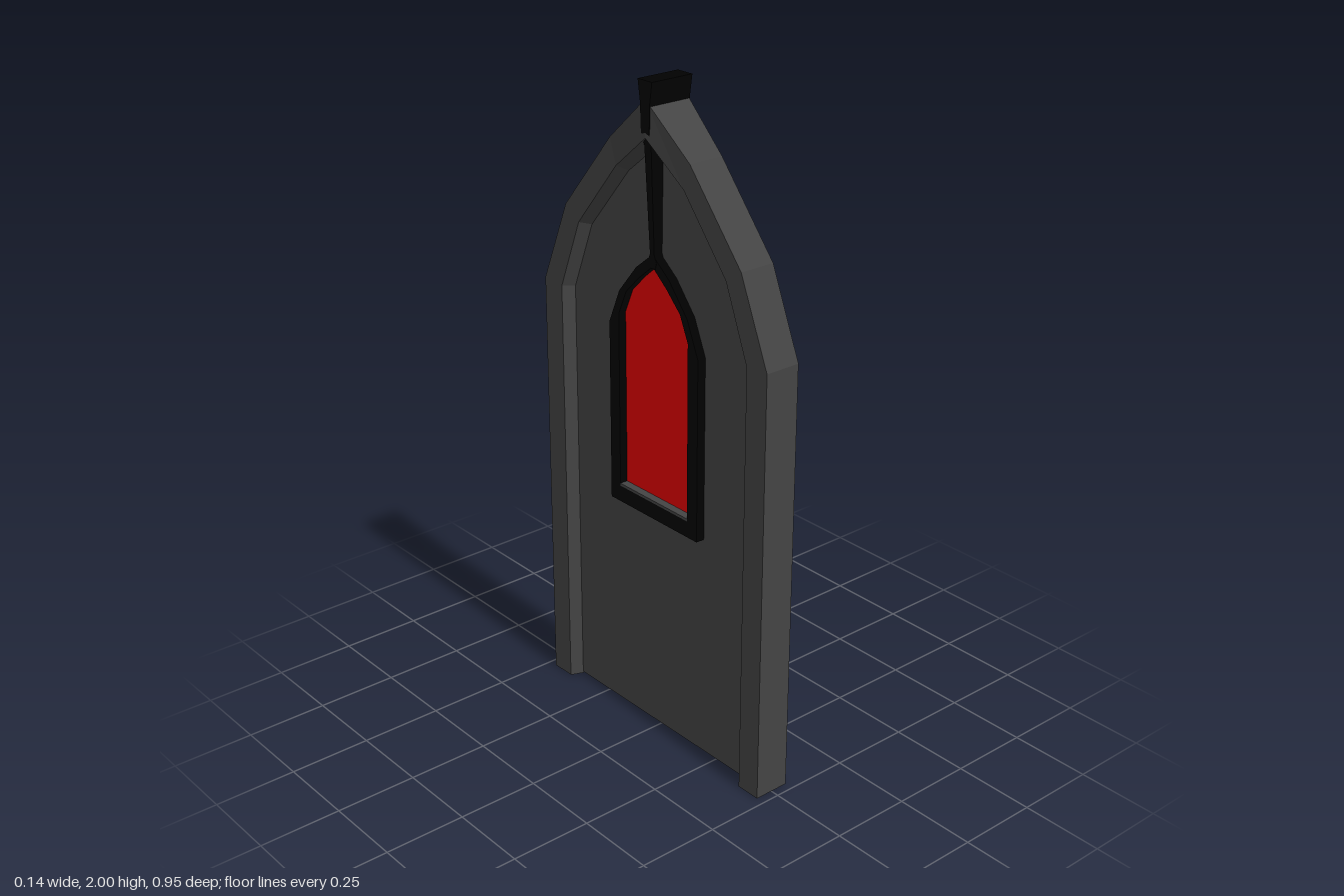
import * as THREE from 'three';

// Half outlines as [z, y], from the base up to the apex
const OUTER = [[0.473, 0], [0.473, 1.32], [0.368, 1.57], [0.165, 1.81], [0, 1.95]];
const INNER = [[0.395, 0], [0.395, 1.315], [0.31, 1.53], [0.14, 1.735], [0, 1.845]];
const CHAMFER = [[0.38, 0], [0.38, 1.31], [0.298, 1.518], [0.132, 1.715], [0, 1.82]];
const DEPTH = [0.056, 0.056, 0.056, 0.056, 0.069];
const RING_OUT = [[0.19, 0.71], [0.19, 1.265], [0.145, 1.37], [0.07, 1.46], [0, 1.515]];
const RING_IN = [[0.148, 0.76], [0.148, 1.3], [0.115, 1.375], [0.06, 1.43], [0, 1.48]];
const PANEL = 0.018;
const RING = 0.045;
const GLASS = 0.02;

const mirrored = (half) => [...half, ...half.slice(0, -1).reverse().map(([z, y]) => [-z, y])];
const points = (half) => mirrored(half).map(([z, y]) => new THREE.Vector2(z, y));

// Flat arch slab lying in the z-y plane, reaching x on both sides
function archSlab(half, holeHalf, x) {
  const shape = new THREE.Shape(points(half));
  if (holeHalf) shape.holes.push(new THREE.Path(points(holeHalf)));
  const g = new THREE.ExtrudeGeometry(shape, { depth: 2 * x, bevelEnabled: false });
  return g.translate(0, 0, -x).rotateY(Math.PI / 2);
}

// Joins equal closed cross-sections and caps both ends, with flat faces
function loft(sections) {
  const pos = [];
  const tri = (a, b, c) => pos.push(...a, ...b, ...c);
  const n = sections[0].length;
  for (let s = 0; s < sections.length - 1; s++) {
    const a = sections[s], b = sections[s + 1];
    for (let i = 0; i < n; i++) {
      const j = (i + 1) % n;
      tri(a[i], a[j], b[j]);
      tri(a[i], b[j], b[i]);
    }
  }
  const first = sections[0], last = sections[sections.length - 1];
  for (let i = 1; i < n - 1; i++) {
    tri(first[0], first[i + 1], first[i]);
    tri(last[0], last[i], last[i + 1]);
  }
  const g = new THREE.BufferGeometry();
  g.setAttribute('position', new THREE.Float32BufferAttribute(pos, 3));
  g.computeVertexNormals();
  return g;
}

export function createModel() {
  const group = new THREE.Group();
  const material = (name, color) => {
    const m = new THREE.MeshStandardMaterial({ color });
    m.name = name;
    return m;
  };
  const stone = material('dark grey stone', 0x444444);
  const iron = material('black iron', 0x010101);
  const red = material('red glass', 0xe60000);
  const add = (name, geometry, mat) => {
    const mesh = new THREE.Mesh(geometry, mat);
    mesh.name = name;
    group.add(mesh);
    return mesh;
  };

  // Pointed frame: chamfered section swept round the arch, thicker at the apex
  const o = mirrored(OUTER), n = mirrored(INNER), c = mirrored(CHAMFER);
  const sections = o.map((_, i) => {
    const h = DEPTH[Math.min(i, o.length - 1 - i)];
    return [
      [h, o[i][1], o[i][0]], [h, n[i][1], n[i][0]], [PANEL, c[i][1], c[i][0]],
      [-PANEL, c[i][1], c[i][0]], [-h, n[i][1], n[i][0]], [-h, o[i][1], o[i][0]],
    ];
  });
  add('archFrame', loft(sections), stone);

  // Recessed panel with the window opening
  const panelEdge = INNER.map(([z, y], i) => [z, i ? y : 0.005]);
  add('doorPanel', archSlab(panelEdge, RING_IN, PANEL), stone);

  // Window surround standing proud on both faces, with the glass set inside
  add('windowSurround', archSlab(RING_OUT, RING_IN, RING), iron);
  add('windowGlass', archSlab(RING_IN, null, GLASS), red);

  // Stone sill below the glass on one face
  const sill = add('windowSill', new THREE.BoxGeometry(RING - GLASS, 0.008, 0.296), stone);
  sill.position.set(-(RING + GLASS) / 2, 0.764, 0);

  // Small lozenge studs on the glass
  const stud = new THREE.CylinderGeometry(1, 1, 0.002, 4).rotateZ(Math.PI / 2);
  const studs = [[0, 0.86], [0, 1.05], [0, 1.245]];
  for (const y of [0.955, 1.15, 1.345]) studs.push([0.088, y], [-0.088, y]);
  for (const [z, y] of studs) {
    const mesh = add('glassStud', stud, iron);
    mesh.position.set(GLASS, y, z);
    mesh.scale.set(1, 0.022, z ? 0.006 : 0.01);
  }

  // Keystone: wide cap tapering into a long spike that ends over the window
  const spike = [
    [1.475, 0.046, 0.012], [1.495, 0.046, 0.018], [1.515, 0.046, 0.009],
    [1.82, 0.06, 0.014], [1.86, 0.0692, 0.017], [1.94, 0.0695, 0.02], [2, 0.0695, 0.029],
  ];
  add('keystoneSpike', loft(spike.map(([y, x, z]) =>
    [[x, y, z], [x, y, -z], [-x, y, -z], [-x, y, z]])), iron);

  return group;
}
